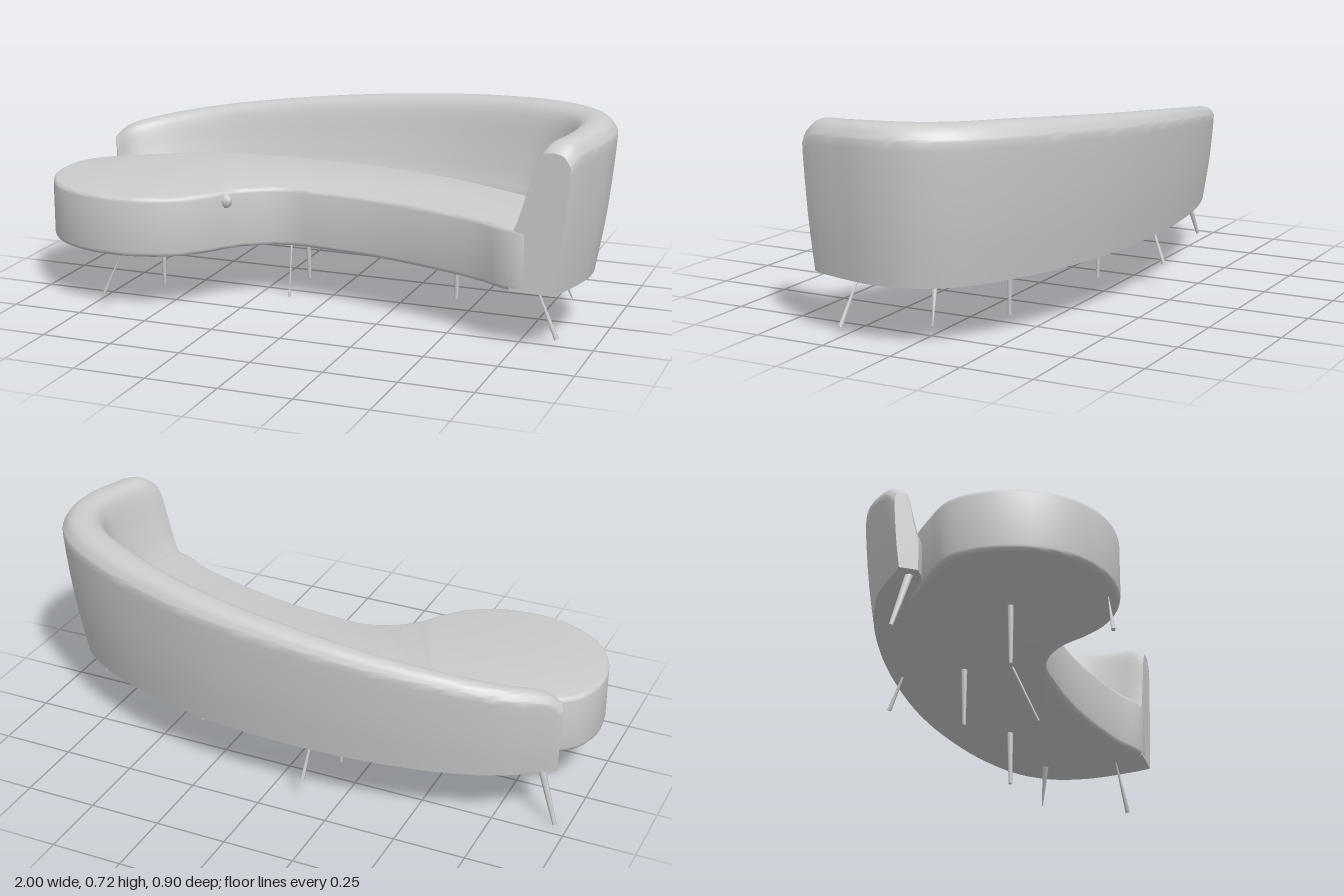
import * as THREE from 'three';
import { toCreasedNormals } from 'three/addons/utils/BufferGeometryUtils.js';

const material = new THREE.MeshStandardMaterial({ color: 0xcccccc, side: THREE.DoubleSide });

function add(group, name, geometry) {
  const mesh = new THREE.Mesh(geometry, material);
  mesh.name = name;
  group.add(mesh);
  return mesh;
}

// Kidney-shaped seat cushion with softened edges
function seatGeometry() {
  const outline = [
    [-1, 0.08], [-0.965, -0.03], [-0.87, -0.11], [-0.74, -0.195], [-0.58, -0.27], [-0.35, -0.31],
    [-0.1, -0.31], [0.2, -0.275], [0.4, -0.215], [0.6, -0.135], [0.77, -0.03], [0.82, 0.1],
    [0.82, 0.25], [0.81, 0.335], [0.73, 0.342], [0.6, 0.275], [0.4, 0.205], [0.2, 0.155], [0, 0.13],
    [-0.12, 0.125], [-0.22, 0.165], [-0.29, 0.225], [-0.34, 0.3], [-0.41, 0.375], [-0.5, 0.425],
    [-0.62, 0.45], [-0.77, 0.43], [-0.9, 0.355], [-0.98, 0.23]
  ].map(([x, z]) => new THREE.Vector3(x, -z, 0));
  const curve = new THREE.CatmullRomCurve3(outline, true);
  const points = curve.getSpacedPoints(120).slice(0, -1).map(p => new THREE.Vector2(p.x, p.y));
  const geometry = new THREE.ExtrudeGeometry(new THREE.Shape(points), {
    depth: 0.178, bevelThickness: 0.016, bevelSize: 0.014, bevelOffset: -0.014, bevelSegments: 3
  });
  geometry.rotateX(-Math.PI / 2).translate(0, 0.216, 0);
  return toCreasedNormals(geometry, 0.6);
}

// Curved backrest: one cross-section swept between an outer and an inner line
function backGeometry() {
  // outer x, outer z, inner x, inner z, height
  const rows = [
    [-0.955, -0.2, -0.915, -0.13, 0.46], [-0.92, -0.235, -0.85, -0.135, 0.5],
    [-0.8, -0.32, -0.73, -0.2, 0.535], [-0.6, -0.39, -0.54, -0.26, 0.572],
    [-0.35, -0.435, -0.32, -0.285, 0.606], [-0.1, -0.453, -0.1, -0.28, 0.636],
    [0.2, -0.443, 0.145, -0.25, 0.666], [0.46, -0.395, 0.355, -0.2, 0.69],
    [0.72, -0.307, 0.55, -0.12, 0.71], [0.9, -0.19, 0.705, -0.035, 0.718],
    [0.983, -0.06, 0.77, 0.055, 0.72], [1, 0.08, 0.782, 0.15, 0.717],
    [0.98, 0.2, 0.77, 0.24, 0.71], [0.95, 0.31, 0.745, 0.31, 0.7],
    [0.93, 0.355, 0.735, 0.342, 0.67]
  ];
  const outer = new THREE.CatmullRomCurve3(rows.map(r => new THREE.Vector3(r[0], r[4], r[1])));
  const inner = new THREE.CatmullRomCurve3(rows.map(r => new THREE.Vector3(r[2], r[4], r[3])));

  // share of the thickness, share of the height
  const profile = new THREE.SplineCurve([
    [0.25, 0], [0.1, 0.4], [0, 0.85], [0.025, 0.93], [0.13, 0.985], [0.3, 1], [0.48, 0.98],
    [0.6, 0.9], [0.74, 0.68], [0.89, 0.48], [0.99, 0.36], [1, 0]
  ].map(p => new THREE.Vector2(...p))).getPoints(33);

  const steps = 70, n = profile.length, base = 0.2;
  const positions = [], index = [];
  for (let i = 0; i <= steps; i++) {
    const o = outer.getPoint(i / steps), q = inner.getPoint(i / steps);
    for (const p of profile) {
      positions.push(o.x + (q.x - o.x) * p.x, base + (o.y - base) * p.y, o.z + (q.z - o.z) * p.x);
    }
  }
  for (let i = 0; i < steps; i++) {
    for (let j = 0; j < n; j++) {
      const k = (j + 1) % n;
      const a = i * n + j, b = i * n + k, c = a + n, d = b + n;
      index.push(a, b, c, b, d, c);
    }
  }
  // End caps
  for (const [a, b, c] of THREE.ShapeUtils.triangulateShape(profile, [])) {
    const end = steps * n;
    index.push(a, b, c, end + a, end + c, end + b);
  }
  const geometry = new THREE.BufferGeometry();
  geometry.setAttribute('position', new THREE.Float32BufferAttribute(positions, 3));
  geometry.setIndex(index);
  return toCreasedNormals(geometry, 0.7);
}

// Slim leg running from the underside to its foot
function addLeg(group, name, top, foot, topRadius, footRadius) {
  const a = new THREE.Vector3(...top), b = new THREE.Vector3(...foot);
  const axis = a.clone().sub(b);
  const leg = add(group, name, new THREE.CylinderGeometry(topRadius, footRadius, axis.length(), 6));
  leg.position.copy(a).add(b).multiplyScalar(0.5);
  leg.quaternion.setFromUnitVectors(new THREE.Vector3(0, 1, 0), axis.normalize());
}

export function createModel() {
  const sofa = new THREE.Group();
  sofa.name = 'curvedSofa';
  add(sofa, 'seat', seatGeometry());
  add(sofa, 'backrest', backGeometry());

  // Small tuft where the seat front turns inward
  const tuft = add(sofa, 'seatTuft', new THREE.SphereGeometry(0.022, 8, 6));
  tuft.position.set(-0.307, 0.375, 0.24);
  tuft.scale.set(1.1, 1.2, 1);

  // Main legs
  addLeg(sofa, 'endLeg', [-0.88, 0.21, -0.165], [-0.955, 0, -0.2], 0.014, 0.007);
  addLeg(sofa, 'middleLeg', [-0.62, 0.21, 0.1], [-0.617, 0, 0.1], 0.01, 0.006);
  addLeg(sofa, 'middleLeg', [-0.16, 0.21, -0.152], [-0.153, 0, -0.152], 0.011, 0.006);
  addLeg(sofa, 'middleLeg', [0.425, 0.21, -0.108], [0.422, 0, -0.106], 0.011, 0.007);

  // Slender outer legs, most of them thicker toward the foot
  addLeg(sofa, 'slenderLeg', [-0.62, 0.21, 0.412], [-0.685, 0.055, 0.435], 0.001, 0.007);
  addLeg(sofa, 'slenderLeg', [-0.155, 0.21, 0.01], [-0.13, 0.005, 0.1], 0.004, 0.003);
  addLeg(sofa, 'slenderLeg', [-0.14, 0.21, -0.37], [-0.13, 0.085, -0.42], 0.004, 0.008);
  addLeg(sofa, 'slenderLeg', [0.79, 0.21, 0.23], [0.88, 0.025, 0.262], 0.002, 0.009);
  addLeg(sofa, 'slenderLeg', [0.79, 0.21, -0.04], [0.85, 0.065, -0.065], 0.012, 0.002);
  return sofa;
}
